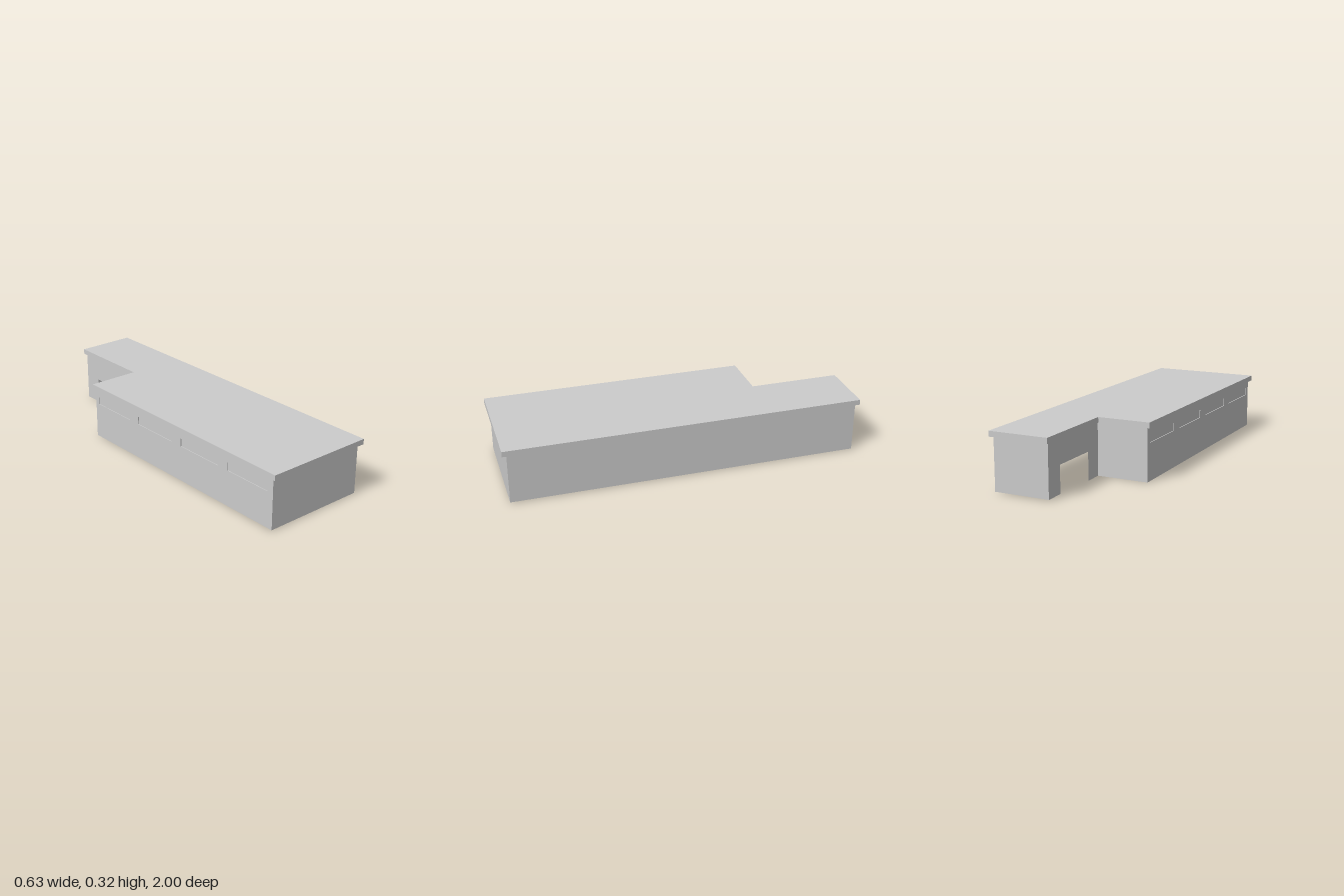
import * as THREE from 'three';

export function createModel() {
  const group = new THREE.Group();
  group.name = 'building';
  const mat = new THREE.MeshStandardMaterial({ color: 0xcccccc, side: THREE.DoubleSide });
  const add = (name, geo) => {
    const m = new THREE.Mesh(geo, mat);
    m.name = name;
    group.add(m);
  };
  const outline = (pts) => new THREE.Shape(pts.map(([a, b]) => new THREE.Vector2(a, b)));

  const X = 0.3, FRONT = 0.975, BACK = -0.98; // outer walls
  const XI = -0.011, ZI = -0.48; // inner corner
  const LOW = 0.005, EAVE = 0.29, TOP = 0.32;

  // Thin walls: across x at a given z, or along z at a given x
  const crossWall = (name, shape, z) => add(name, new THREE.ShapeGeometry(shape).translate(0, 0, z));
  const longWall = (name, shape, x) =>
    add(name, new THREE.ShapeGeometry(shape).rotateY(-Math.PI / 2).translate(x, 0, 0));

  crossWall('frontWall', outline([[-X, LOW], [X, LOW], [X, EAVE], [-X, EAVE]]), FRONT);
  crossWall('backWall', outline([[XI, LOW], [X, LOW], [X, EAVE], [XI, EAVE]]), BACK);
  crossWall('notchWall', outline([[-X, 0], [XI, 0], [XI, EAVE], [-X, EAVE]]), ZI);
  longWall('leftWall', outline([[BACK, LOW], [FRONT, LOW], [FRONT, EAVE], [BACK, EAVE]]), X);

  // Wing wall with a wide doorway
  longWall('doorwayWall', outline([
    [BACK, LOW], [-0.87, LOW], [-0.87, 0.155], [-0.585, 0.155],
    [-0.585, 0], [ZI, 0], [ZI, EAVE], [BACK, EAVE],
  ]), XI);

  // Right wall with four very shallow recessed windows
  const right = outline([[ZI, 0], [FRONT, LOW], [FRONT, EAVE], [ZI, EAVE]]);
  const w = 0.29, y0 = 0.205, y1 = 0.25, depth = 0.004;
  for (let i = 0; i < 4; i++) {
    const z = -0.45 + i * 0.366;
    right.holes.push(outline([[z, y0], [z, y1], [z + w, y1], [z + w, y0]]));
    const box = new THREE.BoxGeometry(depth, y1 - y0, w);
    const idx = Array.from(box.index.array);
    idx.splice(6, 6); // open outer face
    box.setIndex(idx);
    box.clearGroups();
    add('windowRecess', box.translate(-X + depth / 2, (y0 + y1) / 2, z + w / 2));
  }
  longWall('rightWall', right, -X);

  // Hollow roof: top sheet, rim faces and a soffit open above the rooms
  const roofPts = [
    [-0.315, -1], [0.315, -1], [0.315, 1], [-0.02, 1], [-0.02, 0.49], [-0.315, 0.49],
  ];
  const flat = (name, shape, y) =>
    add(name, new THREE.ShapeGeometry(shape).rotateX(-Math.PI / 2).translate(0, y, 0));
  flat('roofTop', outline(roofPts), TOP);

  const soffit = outline(roofPts);
  soffit.holes.push(outline([
    [-X, -FRONT], [X, -FRONT], [X, -BACK], [XI, -BACK], [XI, -ZI], [-X, -ZI],
  ]));
  flat('roofSoffit', soffit, EAVE);

  roofPts.forEach(([ax, ay], i) => {
    const [bx, by] = roofPts[(i + 1) % roofPts.length];
    const rim = new THREE.PlaneGeometry(Math.hypot(bx - ax, by - ay), TOP - EAVE);
    rim.rotateY(Math.atan2(by - ay, bx - ax));
    add('roofRim', rim.translate((ax + bx) / 2, (TOP + EAVE) / 2, -(ay + by) / 2));
  });

  return group;
}
